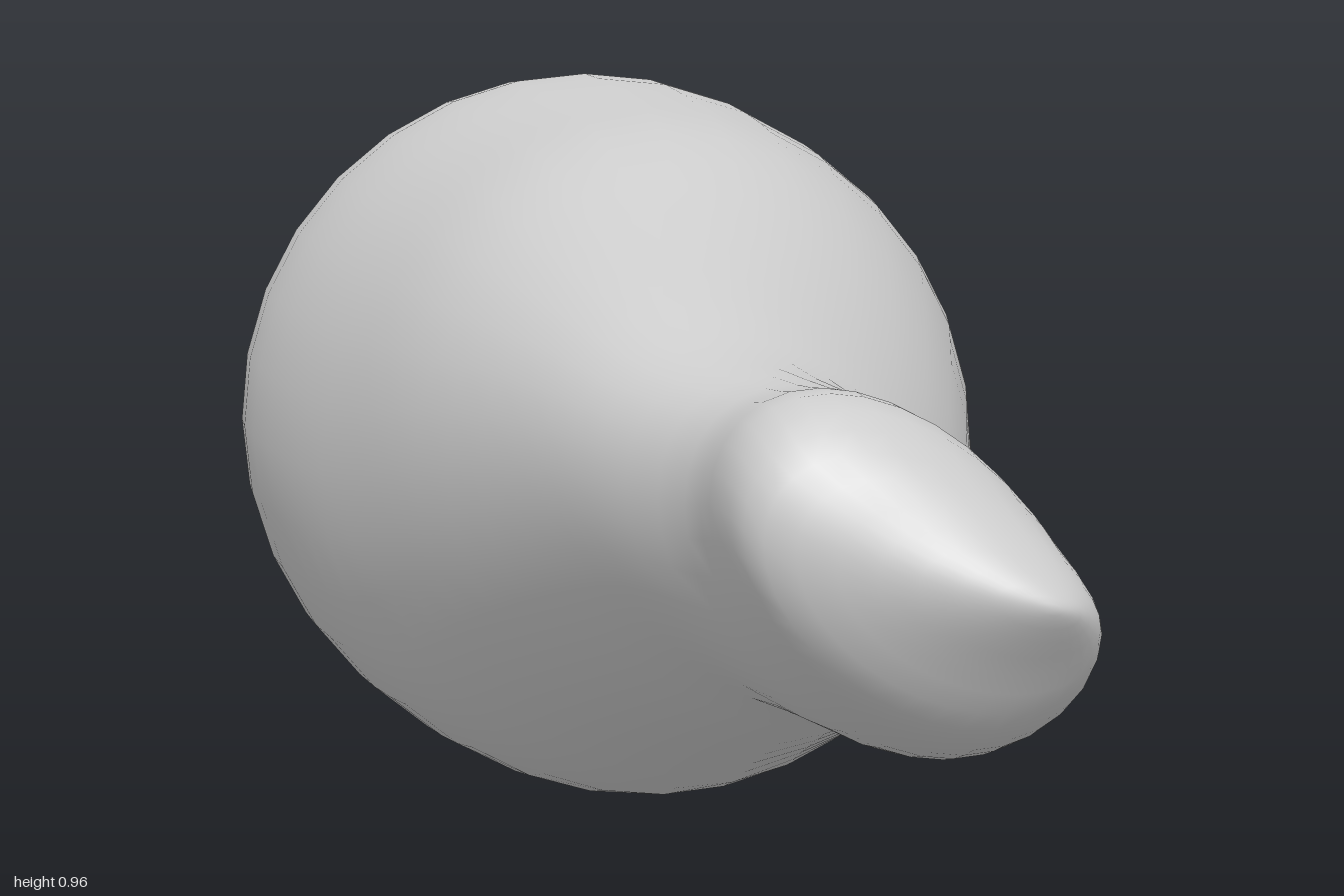
import * as THREE from 'three';
import { mergeVertices } from 'three/addons/utils/BufferGeometryUtils.js';

// Cross-sections from back to front: z, left x, right x, bottom y, top y
const SECTIONS = [
  [-1, 0.01, 0.01, 0.385, 0.385],
  [-0.985, -0.08, 0.11, 0.29, 0.48],
  [-0.945, -0.21, 0.24, 0.205, 0.67],
  [-0.87, -0.345, 0.335, 0.13, 0.815],
  [-0.77, -0.415, 0.405, 0.075, 0.895],
  [-0.62, -0.46, 0.455, 0.03, 0.94],
  [-0.42, -0.486, 0.478, 0.007, 0.968],
  [-0.19, -0.46, 0.48, 0.01, 0.945],
  [0.02, -0.41, 0.425, 0.045, 0.912],
  [0.22, -0.35, 0.357, 0.13, 0.828],
  [0.42, -0.265, 0.283, 0.212, 0.75],
  [0.56, -0.2, 0.26, 0.262, 0.697],
  [0.7, -0.127, 0.283, 0.25, 0.677],
  [0.82, -0.118, 0.281, 0.28, 0.683],
  [0.9, -0.09, 0.279, 0.325, 0.63],
  [0.95, 0.02, 0.265, 0.395, 0.555],
  [0.99, 0.135, 0.228, 0.452, 0.5],
  [1, 0.195, 0.195, 0.475, 0.475],
];
const SIDES = 32;
const ROWS = (SECTIONS.length - 1) * 3;

// Smooth rails through opposite corners of the section boxes
function rail(xColumn, yColumn) {
  const points = SECTIONS.map((s) => new THREE.Vector3(s[xColumn], s[yColumn], s[0]));
  return new THREE.CatmullRomCurve3(points, false, 'catmullrom');
}

// Ellipses filling the boxes between the rails, skewed toward the knob
function loft(lowRail, highRail) {
  const positions = [], index = [];
  for (let i = 0; i <= ROWS; i++) {
    const low = lowRail.getPoint(i / ROWS), high = highRail.getPoint(i / ROWS);
    const centre = low.clone().add(high).multiplyScalar(0.5);
    const radius = high.clone().sub(low).multiplyScalar(0.5);
    const skew = 0.42 * THREE.MathUtils.smoothstep(centre.z, -0.1, 0.75);
    for (let j = 0; j < SIDES; j++) {
      const t = (j / SIDES) * Math.PI * 2;
      positions.push(
        centre.x + radius.x * Math.cos(t),
        centre.y + radius.y * Math.sin(t - skew),
        centre.z,
      );
      if (i === ROWS) continue;
      const a = i * SIDES + j, b = i * SIDES + ((j + 1) % SIDES);
      index.push(a, b, b + SIDES, a, b + SIDES, a + SIDES);
    }
  }
  const geometry = new THREE.BufferGeometry();
  geometry.setAttribute('position', new THREE.Float32BufferAttribute(positions, 3));
  geometry.setIndex(index);
  // Join the end rings into single poles before smoothing
  const merged = mergeVertices(geometry);
  merged.computeVertexNormals();
  return merged;
}

export function createModel() {
  const group = new THREE.Group();
  group.name = 'drumstick';
  // Bulbous body tapering through a neck into a skewed knob
  const body = new THREE.Mesh(
    loft(rail(1, 3), rail(2, 4)),
    new THREE.MeshStandardMaterial({ color: 0xcccccc }),
  );
  body.name = 'bodyAndKnob';
  group.add(body);
  return group;
}
